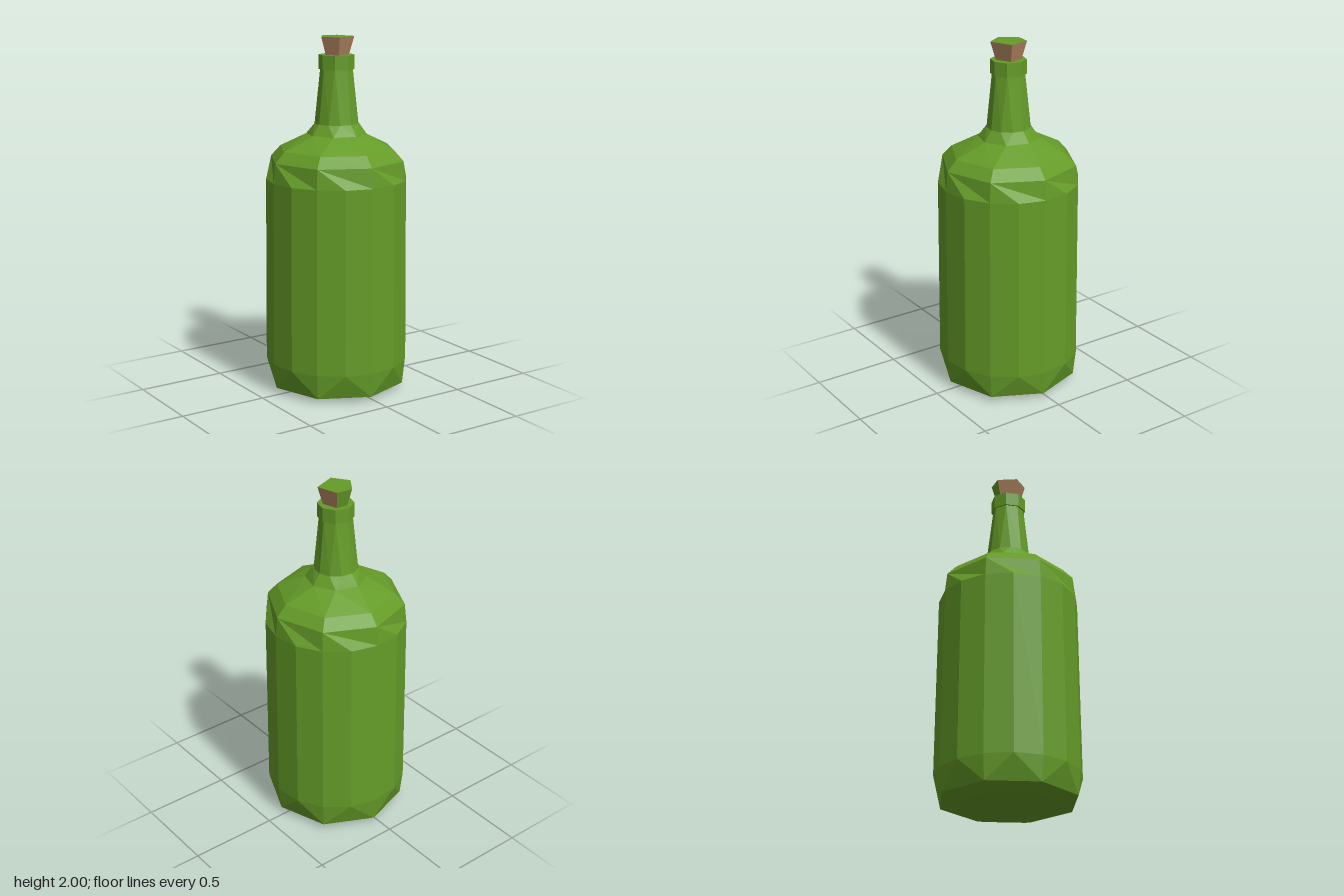
import * as THREE from 'three';

const DEG = Math.PI / 180;

// A horizontal ring of points; angles run from +z toward +x, in degrees
const ringAt = (y, r, angles) => ({
  angles,
  points: angles.map(a => [Math.sin(a * DEG) * r, y, Math.cos(a * DEG) * r]),
});
const even = (n, offset) => Array.from({ length: n }, (_, i) => offset + (i * 360) / n);
const ring = (y, r, n, offset) => ringAt(y, r, even(n, offset));

// Joins a lower ring to an upper ring, whatever their point counts
function stitch(out, low, high) {
  const n = low.points.length, m = high.points.length;
  const angle = (s, i) => s.angles[i % s.angles.length] + 360 * Math.floor(i / s.angles.length);
  let i = 0, j = 0;
  while (i < n || j < m) {
    const a = low.points[i % n], b = high.points[j % m];
    if (j >= m || (i < n && angle(low, i + 1) <= angle(high, j + 1))) {
      out.push(...a, ...low.points[++i % n], ...b);
    } else {
      out.push(...a, ...high.points[++j % m], ...b);
    }
  }
}

// Flat fan that closes a ring
function cap(out, { points }, up) {
  for (let i = 1; i < points.length - 1; i++) {
    const [p, q] = up ? [i, i + 1] : [i + 1, i];
    out.push(...points[0], ...points[p], ...points[q]);
  }
}

function meshFrom(name, positions, material) {
  const geometry = new THREE.BufferGeometry();
  geometry.setAttribute('position', new THREE.Float32BufferAttribute(positions, 3));
  geometry.computeVertexNormals();
  const mesh = new THREE.Mesh(geometry, material);
  mesh.name = name;
  return mesh;
}

function loft(name, rings, material) {
  const out = [];
  cap(out, rings[0], false);
  for (let k = 0; k < rings.length - 1; k++) stitch(out, rings[k], rings[k + 1]);
  cap(out, rings[rings.length - 1], true);
  return meshFrom(name, out, material);
}

export function createModel() {
  const glass = new THREE.MeshStandardMaterial({ color: 0x659c28, flatShading: true });
  glass.name = 'green glass';
  const corkBrown = new THREE.MeshStandardMaterial({ color: 0xb0845f, flatShading: true });
  corkBrown.name = 'cork brown';

  const model = new THREE.Group();
  model.name = 'bottle';

  // Body with a chamfered foot and a rounded shoulder
  model.add(loft('body', [
    ring(0, 0.29, 8, -4),
    ring(0.03, 0.39, 8, -4),
    ring(0.17, 0.405, 16, -4),
    ring(1.21, 0.397, 16, -4),
    ring(1.32, 0.385, 8, -4),
    ring(1.38, 0.33, 8, -4),
    ring(1.46, 0.17, 8, 6),
    ring(1.52, 0.125, 12, 6),
  ], glass));

  // Tapering neck
  model.add(loft('neck', [ring(1.51, 0.125, 12, 6), ring(1.83, 0.09, 8, 6)], glass));

  // Collar at the mouth
  model.add(loft('rim', [ring(1.82, 0.1, 8, 6), ring(1.9, 0.1, 8, 6)], glass));

  // Cork: five uneven sides, flaring upward, with a green top and one green side
  const corners = [-23, 66, 145, 200, 270];
  const bottom = ringAt(1.89, 0.068, corners);
  const top = ringAt(2, 0.1, corners);
  const brown = [], green = [];
  corners.forEach((_, i) => {
    const k = (i + 1) % corners.length;
    const [a, b, c, d] = [bottom.points[i], bottom.points[k], top.points[k], top.points[i]];
    (i === 2 ? green : brown).push(...a, ...b, ...c, ...a, ...c, ...d);
  });
  cap(green, top, true);
  cap(brown, bottom, false);
  model.add(meshFrom('corkSides', brown, corkBrown), meshFrom('corkTop', green, glass));

  return model;
}
